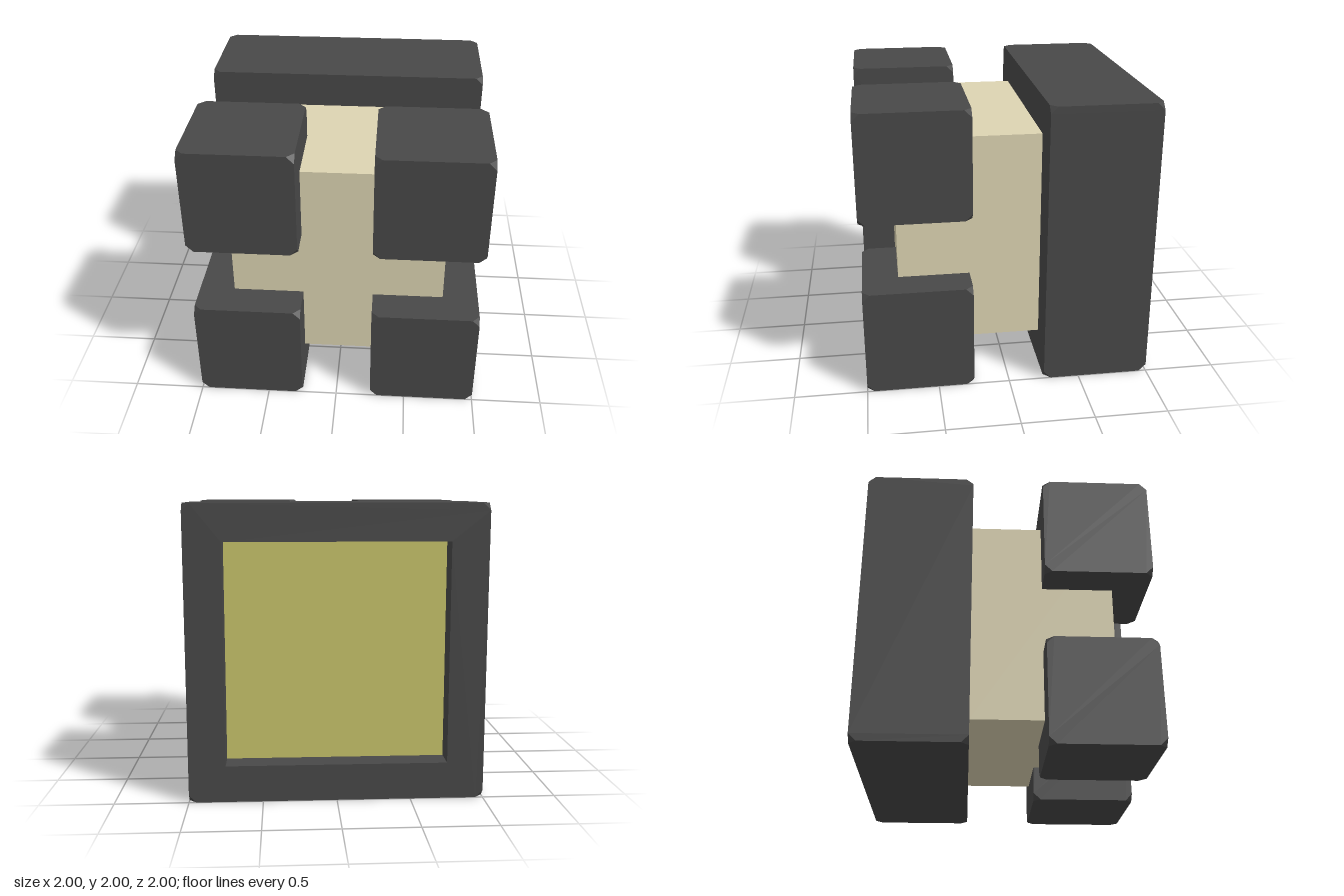
import * as THREE from 'three';
import { ConvexGeometry } from 'three/addons/geometries/ConvexGeometry.js';

const CUT = 0.05;      // length cut off each edge at a corner
const OPENING = 0.75;  // half width of the square recess
const DEPTH = 0.17;    // depth of the recess

const material = (color) => new THREE.MeshStandardMaterial({ color, flatShading: true });

// Box whose eight corners are sliced off, keeping the edges sharp
function cutCornerBox(w, h, d) {
  const points = [];
  for (const sx of [-1, 1]) for (const sy of [-1, 1]) for (const sz of [-1, 1]) {
    for (let axis = 0; axis < 3; axis++) {
      const p = new THREE.Vector3(w / 2, h / 2, d / 2);
      p.setComponent(axis, p.getComponent(axis) - CUT);
      points.push(p.multiply(new THREE.Vector3(sx, sy, sz)));
    }
  }
  return new ConvexGeometry(points);
}

// Remove the flat back of a triangle soup so that it can be replaced by a frame
function withoutBack(geometry, z) {
  const p = geometry.attributes.position.array;
  const kept = [];
  for (let i = 0; i < p.length; i += 9) {
    const onBack = [2, 5, 8].every((k) => Math.abs(p[i + k] - z) < 1e-4);
    if (!onBack) kept.push(...p.slice(i, i + 9));
  }
  const open = new THREE.BufferGeometry();
  open.setAttribute('position', new THREE.Float32BufferAttribute(kept, 3));
  open.computeVertexNormals();
  return open;
}

// Octagonal outline with a square hole
function frameShape() {
  const a = 1, b = 1 - CUT, o = OPENING;
  const outline = [[a, -b], [a, b], [b, a], [-b, a], [-a, b], [-a, -b], [-b, -a], [b, -a]];
  const hole = [[-o, -o], [-o, o], [o, o], [o, -o]];
  const toPoints = (list) => list.map(([x, y]) => new THREE.Vector2(x, y));
  const shape = new THREE.Shape(toPoints(outline));
  shape.holes.push(new THREE.Path(toPoints(hole)));
  return shape;
}

export function createModel() {
  const model = new THREE.Group();
  const dark = material(0x484848);
  const beige = material(0xddd4b2);
  const yellow = material(0xc8c46a);

  function add(parent, name, geometry, mat, x = 0, y = 0, z = 0) {
    const mesh = new THREE.Mesh(geometry, mat);
    mesh.name = name;
    mesh.position.set(x, y, z);
    parent.add(mesh);
    return mesh;
  }

  // Central block
  add(model, 'core', new THREE.BoxGeometry(1.5, 1.5, 1), beige, 0, 1, 0.25);

  // Four cubes on the front corners
  const cube = cutCornerBox(0.75, 0.75, 0.75);
  for (const sx of [-1, 1]) for (const sy of [-1, 1]) {
    const name = (sy > 0 ? 'upper' : 'lower') + (sx > 0 ? 'Left' : 'Right') + 'Cube';
    add(model, name, cube, dark, sx * 0.625, 1 + sy * 0.625, 0.625);
  }

  // Back slab with a recessed panel
  const slab = new THREE.Group();
  slab.name = 'backSlab';
  slab.position.set(0, 1, -0.625);
  model.add(slab);
  add(slab, 'slabBody', withoutBack(cutCornerBox(2, 2, 0.75), -0.375), dark);
  add(slab, 'slabFrame', new THREE.ShapeGeometry(frameShape()), dark, 0, 0, -0.375).rotation.y = Math.PI;

  // Recess walls face inwards
  for (let i = 0; i < 4; i++) {
    const wall = new THREE.PlaneGeometry(DEPTH, 2 * OPENING);
    wall.rotateY(-Math.PI / 2).translate(OPENING, 0, -0.375 + DEPTH / 2).rotateZ(i * Math.PI / 2);
    add(slab, 'recessWall', wall, dark);
  }
  add(slab, 'panel', new THREE.PlaneGeometry(2 * OPENING, 2 * OPENING), yellow, 0, 0, -0.375 + DEPTH)
    .rotation.y = Math.PI;

  return model;
}
